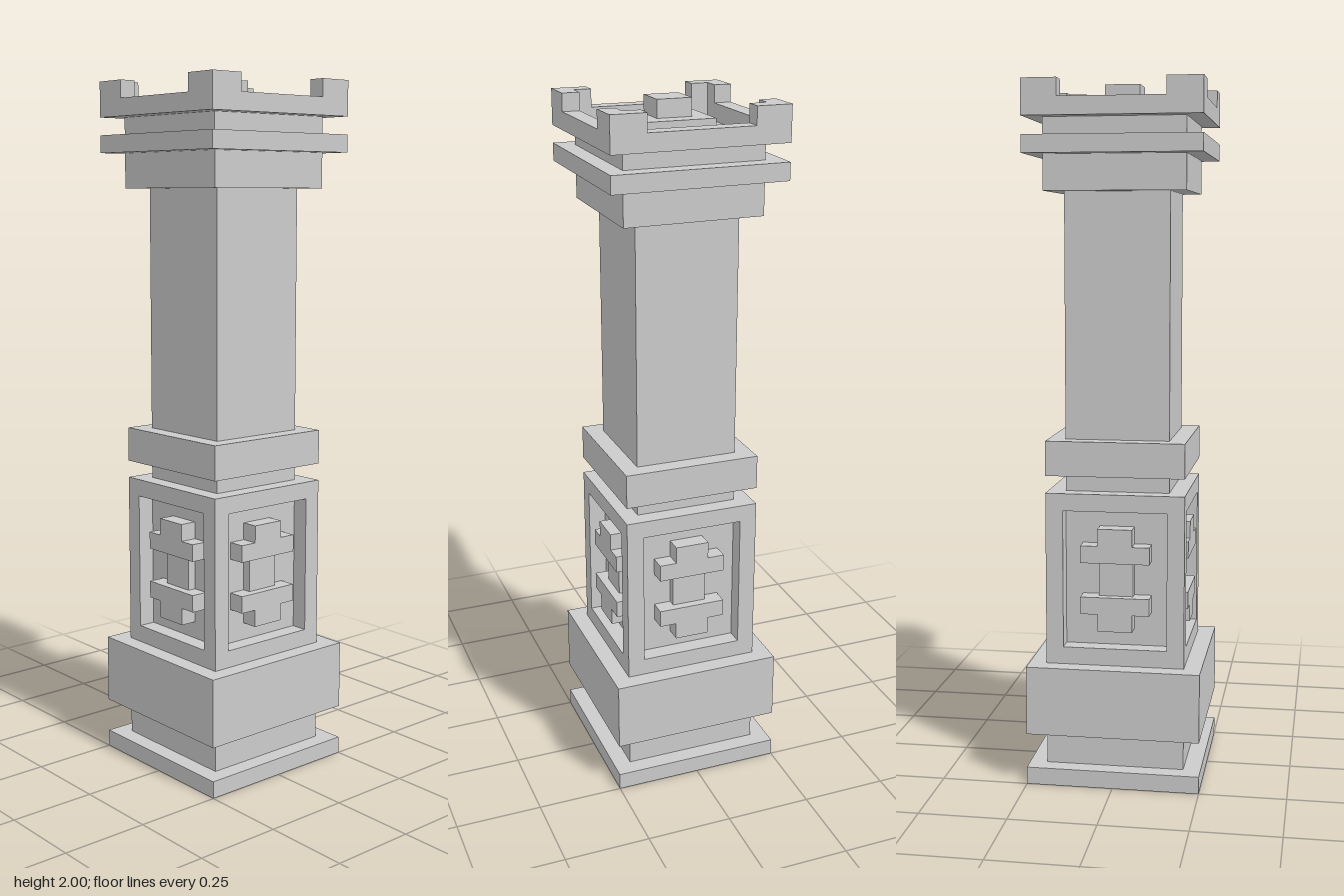
import * as THREE from 'three';

const material = new THREE.MeshStandardMaterial({ color: 0xcccccc, flatShading: true });

// Box given by its size, its bottom height and its centre in x and z
function box(parent, name, w, h, d, x, y, z) {
  const mesh = new THREE.Mesh(new THREE.BoxGeometry(w, h, d), material);
  mesh.name = name;
  mesh.position.set(x, y + h / 2, z);
  parent.add(mesh);
  return mesh;
}

export function createModel() {
  const model = new THREE.Group();
  model.name = 'column';

  // Stacked square courses: name, width, bottom, top
  const courses = [
    ['foot', 0.5, 0, 0.05],
    ['footNeck', 0.4, 0.05, 0.15],
    ['plinth', 0.5, 0.15, 0.35],
    ['panelSill', 0.4, 0.35, 0.4],
    ['panelCore', 0.3, 0.4, 0.8],
    ['panelLintel', 0.4, 0.8, 0.85],
    ['collarNeck', 0.3, 0.85, 0.9],
    ['collar', 0.4, 0.9, 1.0],
    ['shaft', 0.3, 1.0, 1.7],
    ['capital', 0.4, 1.7, 1.8],
    ['cornice', 0.5, 1.8, 1.85],
    ['parapetNeck', 0.4, 1.85, 1.9],
    ['finialBase', 0.2, 1.9, 1.95],
    ['finial', 0.1, 1.95, 2.0],
  ];
  for (const [name, w, y0, y1] of courses) box(model, name, w, y1 - y0, w, 0, y0, 0);

  // Corner posts framing the recessed panels, and L-shaped merlons on top
  const corner = new THREE.Shape();
  [[0.25, 0.25], [0.15, 0.25], [0.15, 0.2], [0.2, 0.2], [0.2, 0.15], [0.25, 0.15]]
    .forEach(([x, y], i) => (i ? corner.lineTo(x, y) : corner.moveTo(x, y)));
  const merlonGeometry = new THREE.ExtrudeGeometry(corner, { depth: 0.05, bevelEnabled: false });
  merlonGeometry.rotateX(-Math.PI / 2);

  // Raised parapet around the top
  const ring = new THREE.Shape();
  ring.moveTo(-0.25, -0.25).lineTo(0.25, -0.25).lineTo(0.25, 0.25).lineTo(-0.25, 0.25);
  const hole = new THREE.Path();
  hole.moveTo(-0.2, -0.2).lineTo(-0.2, 0.2).lineTo(0.2, 0.2).lineTo(0.2, -0.2);
  ring.holes.push(hole);
  const rimGeometry = new THREE.ExtrudeGeometry(ring, { depth: 0.05, bevelEnabled: false });
  rimGeometry.rotateX(-Math.PI / 2);
  const rim = new THREE.Mesh(rimGeometry, material);
  rim.name = 'parapet';
  rim.position.y = 1.9;
  model.add(rim);

  // Everything that repeats on the four sides
  for (let i = 0; i < 4; i++) {
    const side = new THREE.Group();
    side.name = 'side' + (i + 1);
    side.rotation.y = (i * Math.PI) / 2;
    box(side, 'cornerPost', 0.05, 0.4, 0.05, 0.175, 0.4, 0.175);

    const merlon = new THREE.Mesh(merlonGeometry, material);
    merlon.name = 'merlon';
    merlon.position.y = 1.95;
    side.add(merlon);

    // Panel ornament: two blocks with side lugs, joined by a lower bar
    box(side, 'ornamentBar', 0.1, 0.1, 0.025, 0, 0.55, 0.1625);
    for (const [blockY, lugY] of [[0.45, 0.5], [0.65, 0.65]]) {
      box(side, 'ornamentBlock', 0.1, 0.1, 0.05, 0, blockY, 0.175);
      for (const s of [-1, 1]) box(side, 'ornamentLug', 0.05, 0.05, 0.05, s * 0.075, lugY, 0.175);
    }
    model.add(side);
  }
  return model;
}
